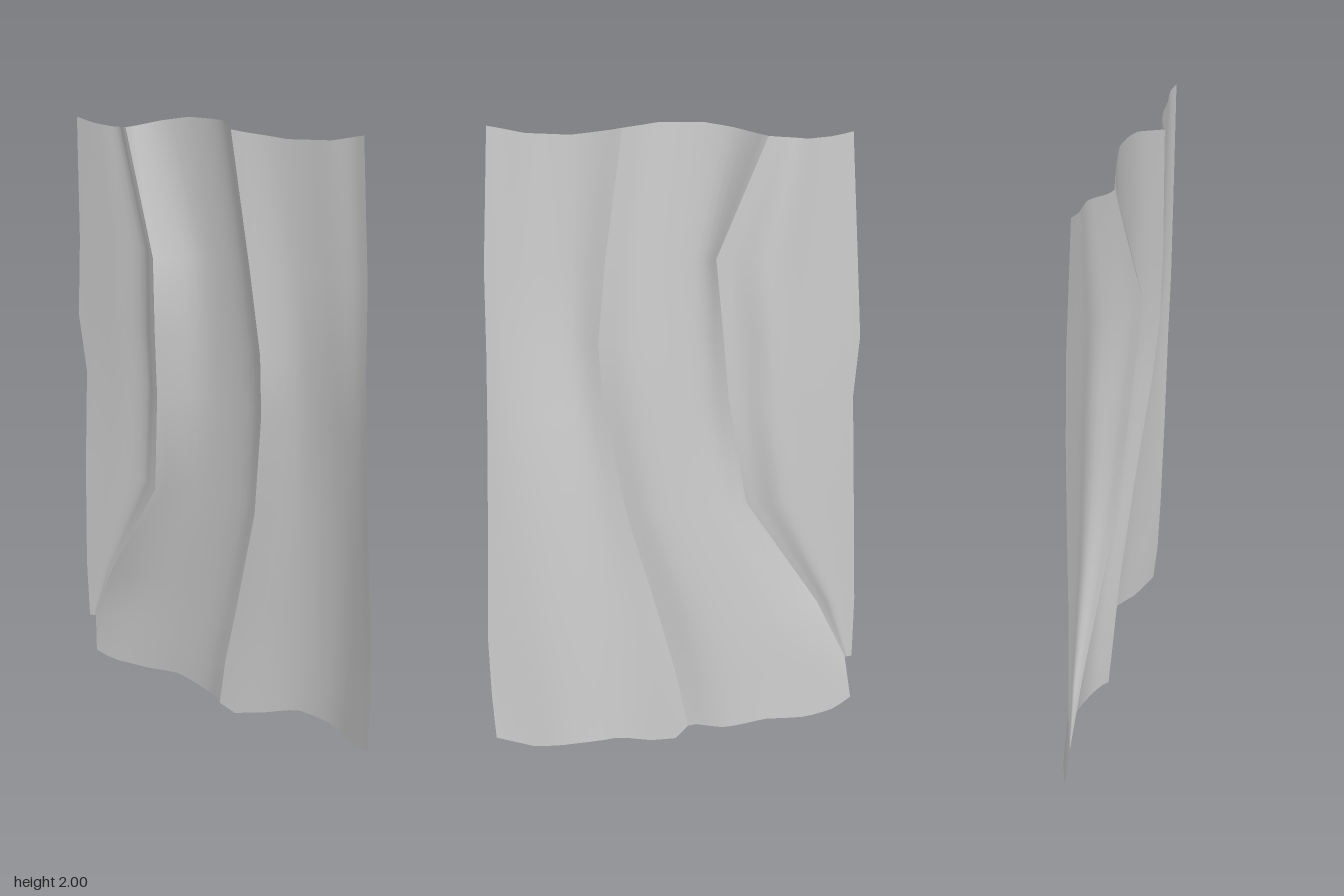
import * as THREE from 'three';

// Heights of the guide points; the first and last rows follow the hems
const levels = [0, 0.2, 0.4, 0.76, 1.1, 1.3, 1.56, 2];

// Guide lines as [x, z] at each level: two outer edges and two fold crests
const leftEdge = [[-0.58, -0.22], [-0.597, -0.205], [-0.605, -0.205], [-0.598, -0.2], [-0.586, -0.2], [-0.613, -0.2], [-0.6, -0.195], [-0.59, -0.175]];
const outerCrest = [[-0.58, -0.22], [-0.57, -0.2], [-0.48, -0.155], [-0.25, -0.05], [-0.215, 0], [-0.21, 0.022], [-0.2, 0.05], [-0.34, -0.043]];
const innerCrest = [[-0.01, -0.045], [0.02, -0.025], [0.07, 0], [0.16, 0.06], [0.205, 0.117], [0.21, 0.14], [0.177, 0.146], [0.11, 0.14]];
const rightEdge = [[0.6, 0.165], [0.605, 0.18], [0.61, 0.19], [0.595, 0.2], [0.585, 0.207], [0.58, 0.213], [0.58, 0.217], [0.56, 0.22]];

// Depth of the valley behind each crest
const middleValley = [-0.217, -0.2, -0.17, -0.085, -0.055, -0.04, -0.025, -0.035];
const rightValley = [-0.056, -0.045, -0.025, 0.015, 0.065, 0.1, 0.12, 0.135];

// Wavy hems as [x, y]
const topHem = [[-0.59, 1.97], [-0.52, 1.955], [-0.43, 1.947], [-0.33, 1.957], [-0.2, 1.985], [-0.1, 2], [0.04, 2], [0.12, 1.98], [0.3, 1.962], [0.45, 1.968], [0.56, 1.99]];
const bottomHem = [[-0.58, 0.06], [-0.51, 0.035], [-0.38, 0.03], [-0.23, 0.047], [-0.1, 0.03], [-0.02, 0.04], [0.03, 0], [0.15, 0.022], [0.27, 0.058], [0.4, 0.055], [0.51, 0.043], [0.6, 0.068]];

function hemAt(hem, x) {
  if (x <= hem[0][0]) return hem[0][1];
  for (let i = 1; i < hem.length; i++) {
    const [x0, y0] = hem[i - 1], [x1, y1] = hem[i];
    if (x <= x1) return y0 + (y1 - y0) * (x - x0) / (x1 - x0);
  }
  return hem[hem.length - 1][1];
}

function heightAt(level, x) {
  if (level === 0) return hemAt(bottomHem, x);
  if (level === levels.length - 1) return hemAt(topHem, x);
  return levels[level];
}

// Cloth strip between two guide lines, from the given level to the top; each inner column is
// [share of the width, share of the rise from valley to far line at the bottom, and at the top]
function strip(name, from, to, valley, columns, firstLevel = 0) {
  const { lerp } = THREE.MathUtils;
  const nu = 16, pos = [], index = [];
  for (let j = firstLevel; j < levels.length; j++) {
    const inner = columns.map(([across, riseLow, riseHigh]) => [
      lerp(from[j][0], to[j][0], across),
      lerp(valley[j], to[j][1], lerp(riseLow, riseHigh, levels[j] / 2)),
    ]);
    const row = new THREE.CatmullRomCurve3(
      [from[j], ...inner, to[j]].map(([x, z]) => new THREE.Vector3(x, 0, z)));
    for (let i = 0; i <= nu; i++) {
      const p = row.getPoint(i / nu);
      pos.push(p.x, heightAt(j, p.x), p.z);
      if (i < nu && j < levels.length - 1) {
        const a = (j - firstLevel) * (nu + 1) + i, b = a + nu + 1;
        index.push(a, a + 1, b + 1, a, b + 1, b);
      }
    }
  }
  const geometry = new THREE.BufferGeometry();
  geometry.setAttribute('position', new THREE.Float32BufferAttribute(pos, 3));
  geometry.setIndex(index);
  geometry.computeVertexNormals();
  const mesh = new THREE.Mesh(geometry,
    new THREE.MeshStandardMaterial({ color: 0xcccccc, side: THREE.DoubleSide }));
  mesh.name = name;
  return mesh;
}

export function createModel() {
  const group = new THREE.Group();
  group.name = 'hangingCloth';
  // Three strips that meet in sharp creases at the crests;
  // the outer one ends above the bottom hem
  group.add(
    strip('outerClothStrip', leftEdge, outerCrest, leftEdge.map((p) => p[1]),
      [[0.4, 0.22, 0.22], [0.75, 0.42, 0.42], [0.9, 0.75, 0.85]], 1),
    strip('middleClothStrip', outerCrest, innerCrest, middleValley,
      [[0.3, 0, 0.04], [0.6, 0.2, 0.18], [0.85, 0.55, 0.5]]),
    strip('innerClothStrip', innerCrest, rightEdge, rightValley,
      [[0.28, 0, 0.1], [0.51, 0.06, 0.25], [0.72, 0.3, 0.52], [0.9, 0.75, 0.72]]),
  );
  return group;
}
